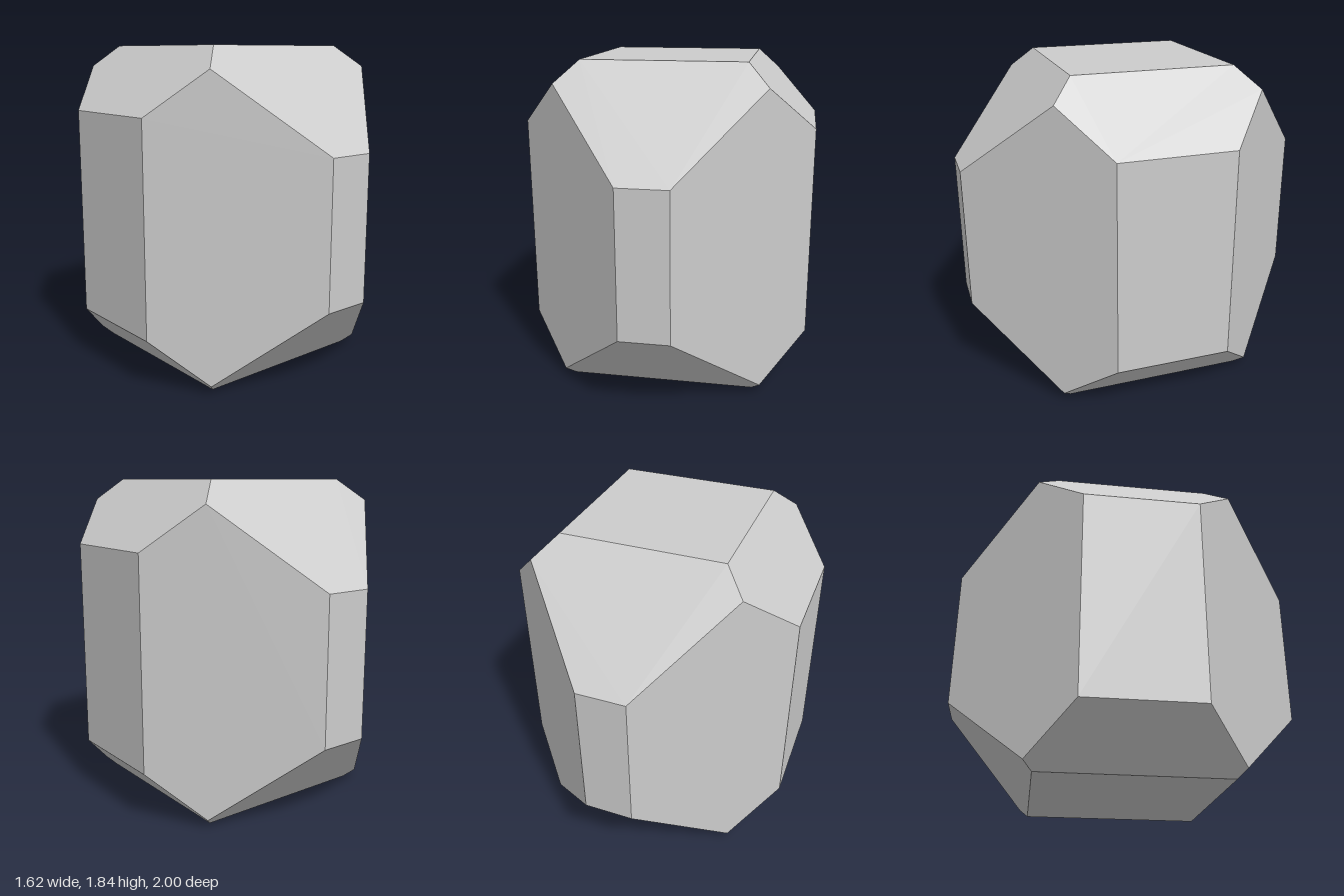
import * as THREE from 'three';
import { ConvexGeometry } from 'three/addons/geometries/ConvexGeometry.js';

// Block extents: half width, half depth, height
const W = 0.812, D = 1, H = 1.836;
// 45 degree bevel planes: |x|+|z| = SIDE, y+|x or z| = TOP, |x or z|-y = BASE
const SIDE = 1.137, TOP = 2.287, BASE = 0.521;

export function createModel() {
  const group = new THREE.Group();
  group.name = 'crystal';

  // Corners of one quadrant, where the bevels meet the flat faces and each other
  const quadrant = [
    [SIDE - D, D],        // edge of front face
    [W, SIDE - W],        // edge of side face
    [SIDE / 2, SIDE / 2], // tip of vertical bevel
  ].flatMap(([x, z]) => {
    const r = Math.max(x, z);
    return [[x, TOP - r, z], [x, r - BASE, z]];
  });
  quadrant.push([TOP - H, H, TOP - H], [BASE, 0, BASE]); // top and bottom faces

  // Mirror into all four quadrants
  const points = [];
  for (const sx of [-1, 1])
    for (const sz of [-1, 1])
      for (const [x, y, z] of quadrant) points.push(new THREE.Vector3(sx * x, y, sz * z));

  const body = new THREE.Mesh(
    new ConvexGeometry(points),
    new THREE.MeshStandardMaterial({ color: 0xcccccc, flatShading: true })
  );
  body.name = 'facetedBody';
  group.add(body);
  return group;
}
